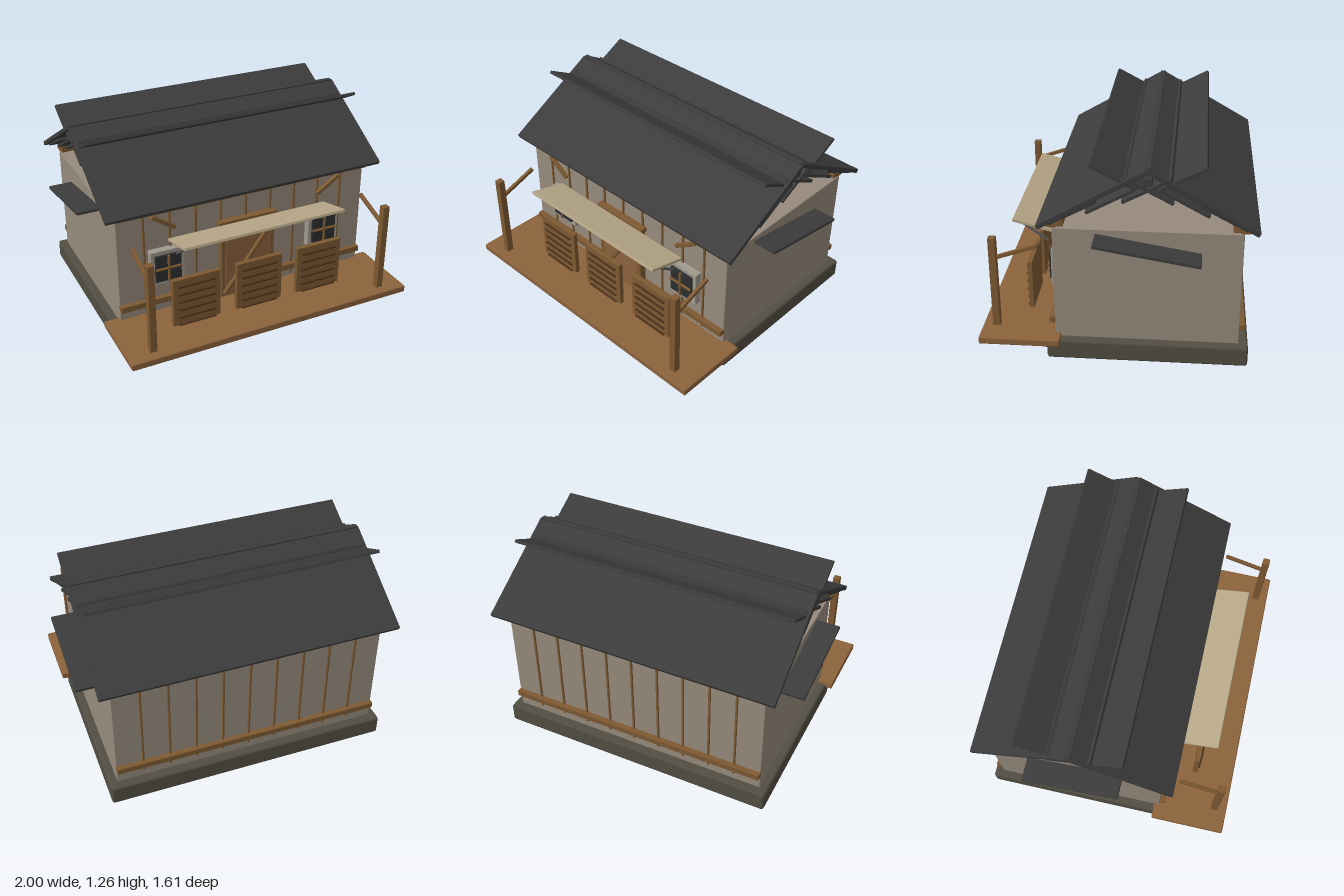
import * as THREE from 'three';
import { RoundedBoxGeometry } from 'three/addons/geometries/RoundedBoxGeometry.js';

const mat = (color) => new THREE.MeshStandardMaterial({ color });
const M = {
  wall: mat(0x968a7c), stone: mat(0x524e42), roof: mat(0x3c3c3c), wood: mat(0x7e5a32),
  deck: mat(0x8c633c), dark: mat(0x4a3019), cloth: mat(0xb8a888), frame: mat(0xa09a8e),
  pane: mat(0x2c2e30), iron: mat(0x5c5c5c),
};

export function createModel() {
  const root = new THREE.Group();
  const ROOF_MID = -0.18;

  // box given by its extents on each axis, with a slight edge bevel
  function box(name, m, [x0, x1], [y0, y1], [z0, z1], r = 0.004) {
    const w = x1 - x0, h = y1 - y0, d = z1 - z0;
    const g = new RoundedBoxGeometry(w, h, d, 1, Math.min(r, Math.min(w, h, d) * 0.3));
    const mesh = new THREE.Mesh(g, m);
    mesh.name = name;
    mesh.position.set((x0 + x1) / 2, (y0 + y1) / 2, (z0 + z1) / 2);
    root.add(mesh);
    return mesh;
  }

  // slab tilted about x, running between two [z, y] points
  function slab(name, m, x, w, [z0, y0], [z1, y1], t) {
    const len = Math.hypot(z1 - z0, y1 - y0);
    const mesh = box(name, m, [x - w / 2, x + w / 2], [-t / 2, t / 2], [-len / 2, len / 2]);
    mesh.position.set(x, (y0 + y1) / 2, (z0 + z1) / 2);
    mesh.rotation.x = -Math.atan2(y1 - y0, z1 - z0);
  }

  // bar leaning in the front plane, between two [x, y] points
  function bar(name, m, [x0, y0], [x1, y1], z, t, d) {
    const len = Math.hypot(x1 - x0, y1 - y0);
    const mesh = box(name, m, [-len / 2, len / 2], [-t / 2, t / 2], [-d / 2, d / 2]);
    mesh.position.set((x0 + x1) / 2, (y0 + y1) / 2, z);
    mesh.rotation.z = Math.atan2(y1 - y0, x1 - x0);
  }

  // base and walls
  box('foundation', M.stone, [-0.9, 0.9], [0, 0.125], [-0.775, 0.41], 0.015);
  for (let i = 0; i < 10; i++) {
    const x = (i - 4.5) * 0.17;
    box('frontStone', M.stone, [x - 0.08, x + 0.08], [0.03, 0.125], [0.36, 0.44], 0.015);
  }
  box('walls', M.wall, [-0.85, 0.85], [0.125, 0.84], [-0.72, 0.365]);

  // wall battens and long beams, front and back
  for (const s of [1, -1]) {
    const span = (a, b) => { // distances from the middle of the house
      const mid = -0.1775;
      return s > 0 ? [mid + a, mid + b] : [mid - b, mid - a];
    };
    for (let i = -4; i <= 4; i++) {
      box('wallBatten', M.wood, [i * 0.17 - 0.007, i * 0.17 + 0.007], [0.175, 0.84], span(0.535, 0.553));
    }
    box('lowerBeam', M.wood, [-0.85, 0.85], [0.215, 0.255], span(0.535, 0.575));
    box('outerEaveBeam', M.wood, [-0.85, 0.85], [0.843, 0.898], span(0.522, 0.578));
    box('innerEaveBeam', M.wood, [-0.85, 0.85], [0.85, 0.898], span(0.478, 0.522));
  }

  // roof: two main slopes with crossing loose layers, mirrored about the ridge
  for (const s of [1, -1]) {
    const p = (dz, y) => [ROOF_MID + s * dz, y];
    slab('roofSlope', M.roof, 0, 1.86, p(0, 1.232), p(0.618, 0.877), 0.028);
    slab('upperRoofLayer', M.roof, 0, 1.82, p(0.06, 1.115), p(0.322, 1.253), 0.02);
    slab('crossRoofLayer', M.roof, 0, 1.82, p(-0.143, 1.038), p(0.132, 1.183), 0.02);
    slab('lowerRoofLayer', M.roof, 0, 1.82, p(0.07, 1.117), p(0.343, 0.968), 0.02);
    slab('eaveRoofLayer', M.roof, 0, 1.82, p(0.29, 1.033), p(0.555, 0.893), 0.02);
  }
  box('ridgeCap', M.roof, [-0.92, 0.92], [1.215, 1.248], [ROOF_MID - 0.018, ROOF_MID + 0.018]);
  box('ridgeBeam', M.roof, [-0.9, 0.9], [1.135, 1.18], [ROOF_MID - 0.025, ROOF_MID + 0.025]);

  // porch deck, door and canopy
  box('porchDeck', M.deck, [-0.945, 0.945], [0.105, 0.15], [0.33, 0.81], 0.008);
  box('door', M.deck, [-0.155, 0.155], [0.15, 0.655], [0.36, 0.41]);
  box('doorLintel', M.wood, [-0.2, 0.2], [0.655, 0.69], [0.36, 0.41]);
  bar('doorBrace', M.wood, [-0.17, 0.18], [0.125, 0.58], 0.425, 0.025, 0.025);
  slab('canopy', M.cloth, 0, 1.08, [0.41, 0.663], [0.657, 0.728], 0.02);

  for (const s of [1, -1]) {
    const around = (x, h) => [s * x - h, s * x + h];
    box('doorPost', M.wood, around(0.17, 0.015), [0.15, 0.66], [0.36, 0.41]);
    slab('canopyStrut', M.iron, s * 0.5, 0.015, [0.445, 0.58], [0.6, 0.695], 0.015);
    bar('eaveBrace', M.wood, [s * 0.64, 0.84], [s * 0.49, 0.74], 0.407, 0.025, 0.025);

    // porch post with its rising tie
    box('porchPost', M.wood, around(0.785, 0.022), [0.15, 0.735], [0.705, 0.75]);
    slab('postTie', M.wood, s * 0.785, 0.022, [0.46, 0.692], [0.71, 0.605], 0.024);

    // window
    box('windowFrame', M.frame, around(0.545, 0.11), [0.36, 0.597], [0.36, 0.41]);
    box('windowPane', M.pane, around(0.545, 0.085), [0.39, 0.57], [0.4, 0.424]);
    box('windowBarUpright', M.wood, around(0.545, 0.007), [0.39, 0.57], [0.42, 0.436]);
    box('windowBarAcross', M.wood, around(0.545, 0.085), [0.473, 0.487], [0.42, 0.436]);

    // side canopy slab
    slab('sideCanopy', M.roof, s * 0.91, 0.18, [-0.485, 0.703], [0.122, 0.805], 0.02);
  }

  // slatted screens standing through the deck
  for (const x of [-0.425, 0, 0.425]) {
    box('screen', M.wood, [x - 0.158, x + 0.158], [0.035, 0.472], [0.537, 0.568]);
    for (let i = 0; i < 7; i++) {
      const y = 0.422 - i * 0.054;
      box('screenSlat', M.dark, [x - 0.125, x + 0.125], [y - 0.005, y + 0.005], [0.56, 0.58]);
    }
  }
  return root;
}
